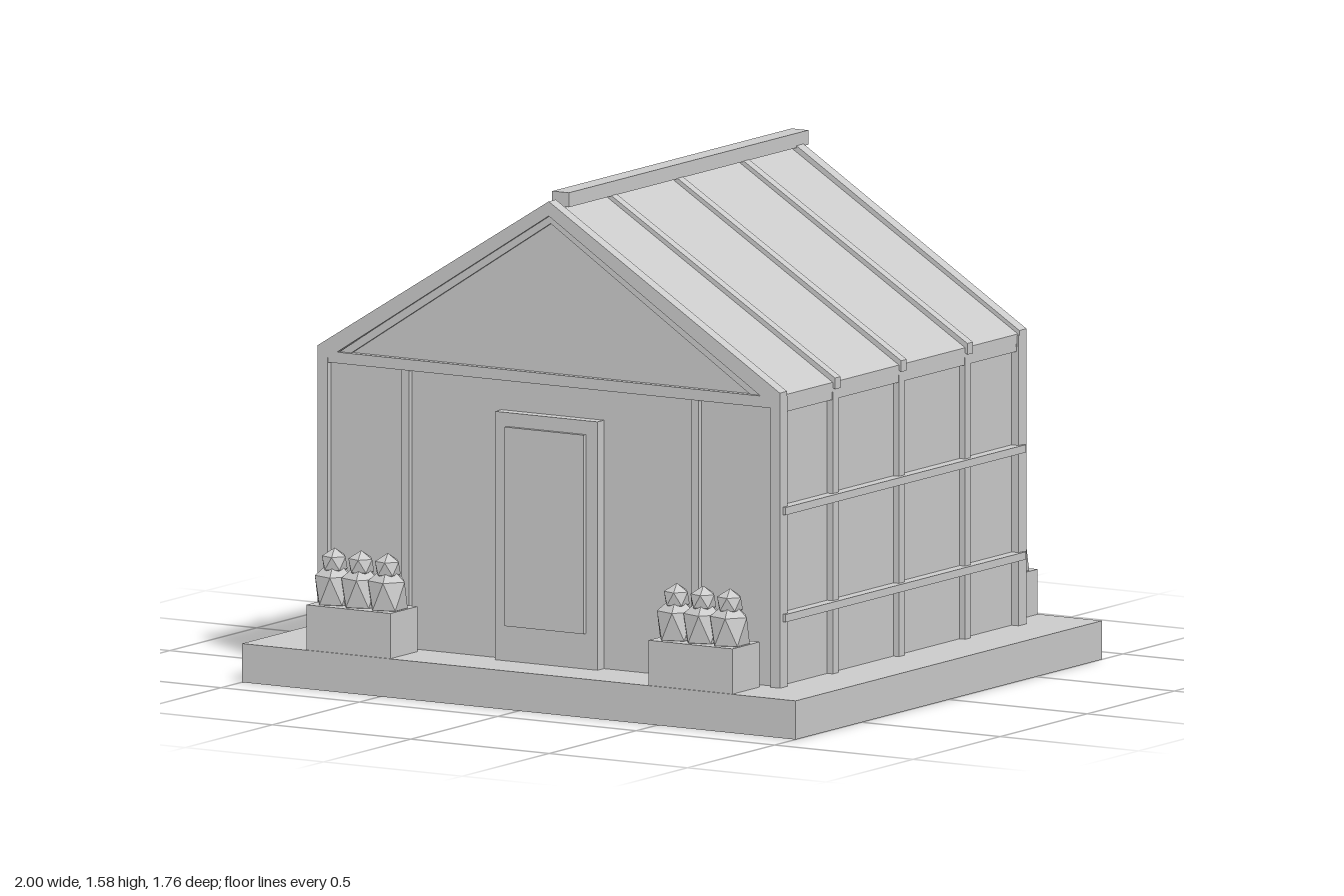
import * as THREE from 'three';

const paint = new THREE.MeshStandardMaterial({ color: 0xcccccc });
paint.name = 'plainGrey';
const leaf = paint.clone();
leaf.flatShading = true;
leaf.name = 'facetedGrey';

export function createModel() {
  const model = new THREE.Group();
  model.name = 'greenhouse';

  const add = (name, geometry, material = paint) => {
    const mesh = new THREE.Mesh(geometry, material);
    mesh.name = name;
    model.add(mesh);
    return mesh;
  };
  // Box given by its limits on each axis
  const box = (name, x0, x1, y0, y1, z0, z1) => {
    const g = new THREE.BoxGeometry(x1 - x0, y1 - y0, z1 - z0);
    g.translate((x0 + x1) / 2, (y0 + y1) / 2, (z0 + z1) / 2);
    return add(name, g);
  };
  const extrude = (name, points, z0, z1, hole) => {
    const shape = new THREE.Shape(points.map(p => new THREE.Vector2(...p)));
    if (hole) shape.holes.push(new THREE.Path(hole.map(p => new THREE.Vector2(...p))));
    const g = new THREE.ExtrudeGeometry(shape, { depth: z1 - z0, bevelEnabled: false });
    g.translate(0, 0, z0);
    return add(name, g);
  };
  // Two roof slopes as one folded strip
  const chevron = (name, x, eave, apex, thick, z0, z1) => extrude(name, [
    [-x, eave - thick], [0, apex - thick], [x, eave - thick],
    [x, eave], [0, apex], [-x, eave]], z0, z1);

  // Slab and wall panels
  box('baseSlab', -1, 1, 0, 0.12, -0.88, 0.88);
  box('wallPanels', -0.81, 0.81, 0.12, 1.0, -0.685, 0.685);

  // Side framing
  for (const s of [-1, 1]) {
    const side = (name, a, b, ...rest) => box(name, Math.min(s * a, s * b), Math.max(s * a, s * b), ...rest);
    for (const z of [-0.38, 0, 0.38]) side('sidePost', 0.79, 0.83, 0.12, 1.02, z - 0.016, z + 0.016);
    for (const y of [0.335, 0.667]) side('sideRail', 0.80, 0.845, y - 0.012, y + 0.012, -0.69, 0.69);
    side('sideTopBeam', 0.79, 0.828, 0.97, 1.02, -0.67, 0.67);
    for (const z of [-0.685, 0.685]) side('cornerPost', 0.80, 0.835, 0.12, 1.02, z - 0.022, z + 0.022);
  }

  // Front and back: posts, gable and door
  for (const s of [-1, 1]) {
    const end = (name, x0, x1, y0, y1, a, b) =>
      box(name, x0, x1, y0, y1, Math.min(s * a, s * b), Math.max(s * a, s * b));
    for (const x of [-0.523, 0.523]) end('endPost', x - 0.014, x + 0.014, 0.12, 1.0, 0.67, 0.70);
    end('gableBeam', -0.83, 0.83, 0.985, 1.02, 0.66, 0.705);
    const z = s * 0.6875;
    extrude('gableRafters', [[-0.835, 1.0], [0.835, 1.0], [0.835, 1.035], [0, 1.555], [-0.835, 1.035]],
      z - 0.0205, z + 0.0205, [[-0.765, 1.02], [0, 1.51], [0.765, 1.02]]);
    extrude('gableInnerFrame', [[-0.77, 1.015], [0.77, 1.015], [0, 1.515]],
      s * 0.685 - 0.012, s * 0.685 + 0.012, [[-0.72, 1.02], [0, 1.485], [0.72, 1.02]]);
    extrude('gablePanel', [[-0.78, 1.0], [0.78, 1.0], [0, 1.51]], s * 0.68 - 0.008, s * 0.68 + 0.008);
    end('doorFrame', -0.185, 0.185, 0.12, 0.89, 0.68, 0.722);
    end('doorPanel', -0.143, 0.143, 0.23, 0.847, 0.70, 0.735);
  }

  // Roof sheets, ribs and the offset ridge cap
  chevron('roofSheets', 0.83, 1.024, 1.535, 0.03, -0.675, 0.675);
  for (const z of [-0.38, 0, 0.38]) chevron('roofRib', 0.838, 1.038, 1.55, 0.035, z - 0.016, z + 0.016);
  box('ridgeCap', -0.03, 0.03, 1.53, 1.575, -0.735, 0.64);

  // Planters, each with three faceted plants
  const bush = new THREE.IcosahedronGeometry(1);
  bush.rotateZ(Math.atan(2 / (1 + Math.sqrt(5)))).rotateY(Math.PI);
  const plant = (name, x, y, z, r, h) => {
    const mesh = add(name, bush, leaf);
    mesh.position.set(x, y, z);
    mesh.scale.set(r, h, r);
  };
  for (const sx of [-1, 1]) for (const sz of [-1, 1]) {
    const x = sx * 0.618, z = sz * 0.798;
    box('planterBox', x - 0.152, x + 0.152, 0.12, 0.26, z - 0.078, z + 0.078);
    for (const dx of [-0.096, 0, 0.096]) {
      plant('plantBody', x + dx, 0.304, z + sz * 0.004, 0.068, 0.096);
      if (sz > 0) plant('plantTop', x + dx, 0.387, z + 0.004, 0.044, 0.045);
    }
  }
  return model;
}
